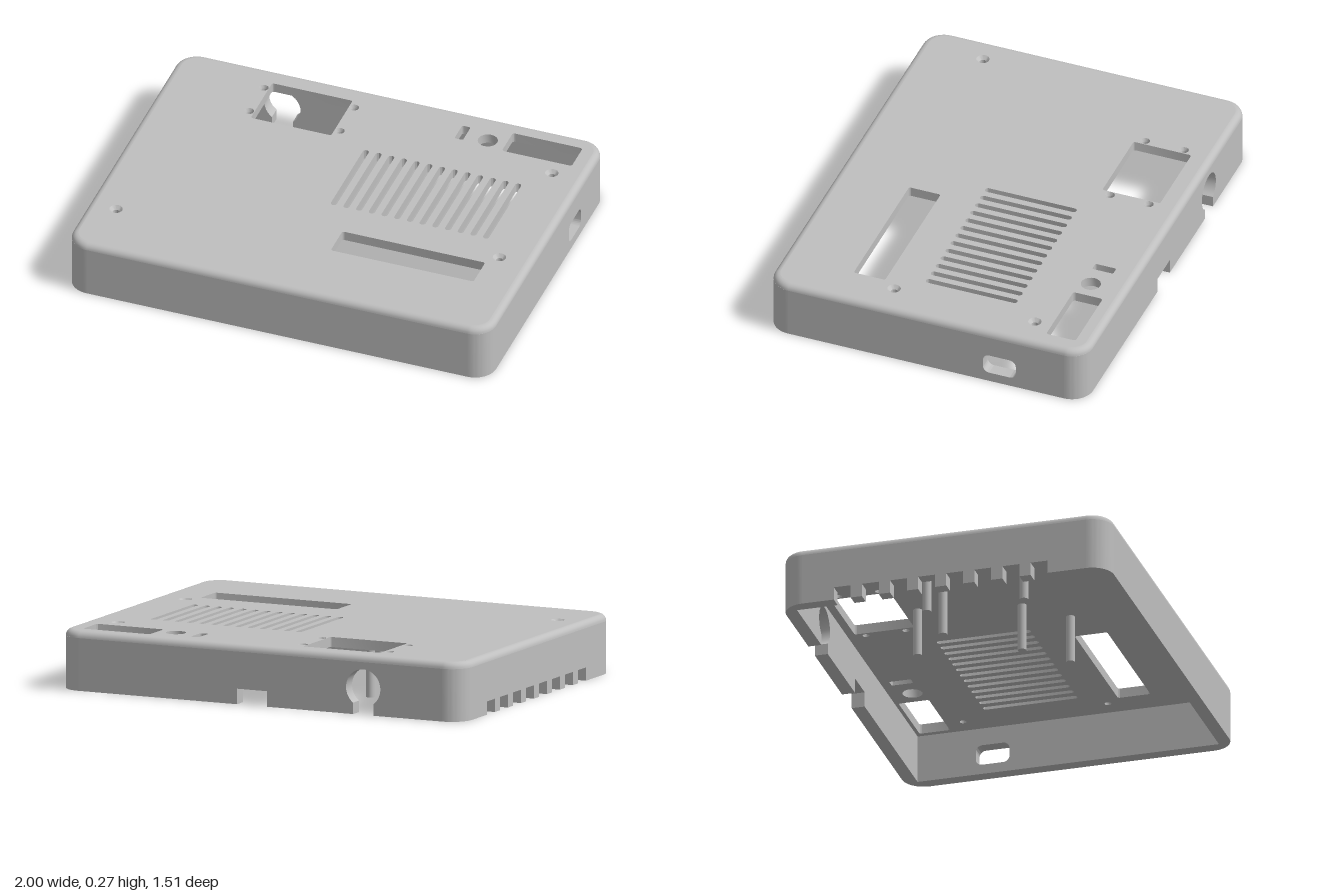
import * as THREE from 'three';
import { toCreasedNormals } from 'three/addons/utils/BufferGeometryUtils.js';

const W = 1, D = 0.757, H = 0.267;   // half width, half depth, height
const R = 0.1, B = 0.03, T = 0.06;   // corner radius, top edge rounding, wall thickness
const CEIL = 0.222, WALL = H - B;    // underside of the lid, top of the straight walls

// Rounded rectangle from its bounds
function roundRect(p, x0, y0, x1, y1, r) {
  p.moveTo(x0 + r, y0);
  p.lineTo(x1 - r, y0).absarc(x1 - r, y0 + r, r, -Math.PI / 2, 0, false);
  p.lineTo(x1, y1 - r).absarc(x1 - r, y1 - r, r, 0, Math.PI / 2, false);
  p.lineTo(x0 + r, y1).absarc(x0 + r, y1 - r, r, Math.PI / 2, Math.PI, false);
  p.lineTo(x0, y0 + r).absarc(x0 + r, y0 + r, r, Math.PI, Math.PI * 1.5, false);
  return p;
}

function extrude(shape, depth, segments = 10) {
  const g = new THREE.ExtrudeGeometry(shape, { depth, bevelEnabled: false, curveSegments: segments });
  return toCreasedNormals(g, 0.6);
}

// Wall outline with notches cut up from the bottom edge; a notch with r ends in a round port
function wallShape(half, notches = []) {
  const s = new THREE.Shape();
  s.moveTo(-half, 0);
  for (const { u, w, h, r } of notches) {
    s.lineTo(u - w / 2, 0);
    if (r) {
      const g = Math.asin(w / 2 / r);
      s.lineTo(u - w / 2, h - r * Math.cos(g));
      s.absarc(u, h, r, -Math.PI / 2 - g, -Math.PI / 2 + g, true);
    } else {
      s.lineTo(u - w / 2, h);
      s.lineTo(u + w / 2, h);
    }
    s.lineTo(u + w / 2, 0);
  }
  s.lineTo(half, 0);
  s.lineTo(half, WALL);
  s.lineTo(-half, WALL);
  s.closePath();
  return s;
}

// Rounded upper edge lofted from shrinking rounded rectangles
function edgeGeometry() {
  const steps = 6, arc = 10, pos = [], idx = [];
  const n = 4 * (arc + 1);
  for (let k = 0; k <= steps; k++) {
    const a = (k / steps) * Math.PI / 2;
    const r = R - B * (1 - Math.cos(a)), y = WALL + B * Math.sin(a);
    for (let c = 0; c < 4; c++) {
      const sx = c === 0 || c === 3 ? 1 : -1, sz = c < 2 ? 1 : -1;
      for (let i = 0; i <= arc; i++) {
        const t = (c + i / arc) * Math.PI / 2;
        pos.push(sx * (W - R) + r * Math.cos(t), y, sz * (D - R) + r * Math.sin(t));
      }
    }
  }
  for (let k = 0; k < steps; k++) {
    for (let i = 0; i < n; i++) {
      const a = k * n + i, b = k * n + (i + 1) % n;
      idx.push(a, a + n, b, b, a + n, b + n);
    }
  }
  const g = new THREE.BufferGeometry();
  g.setAttribute('position', new THREE.Float32BufferAttribute(pos, 3));
  g.setIndex(idx);
  g.computeVertexNormals();
  return g;
}

export function createModel() {
  const model = new THREE.Group();
  model.name = 'enclosureLid';
  const grey = new THREE.MeshStandardMaterial({ color: 0xbfbfbf });
  grey.name = 'case grey';

  const add = (name, geometry, x = 0, y = 0, z = 0, ry = 0) => {
    const m = new THREE.Mesh(geometry, grey);
    m.name = name;
    m.position.set(x, y, z);
    m.rotation.y = ry;
    model.add(m);
    return m;
  };

  // Lid plate with its openings (shape y is -z)
  const plate = roundRect(new THREE.Shape(), -W + B, -D + B, W - B, D - B, R - B);
  const rectHole = (x0, x1, z0, z1, r) =>
    plate.holes.push(roundRect(new THREE.Path(), x0, -z1, x1, -z0, r));
  const roundHole = (x, z, r) =>
    plate.holes.push(new THREE.Path().absarc(x, -z, r, 0, Math.PI * 2, false));

  rectHole(-0.545, -0.165, -0.66, -0.385, 0.01);  // display window
  rectHole(0.355, 0.395, -0.655, -0.555, 0.008);  // small switch slot
  rectHole(0.585, 0.915, -0.68, -0.54, 0.012);    // rear connector opening
  rectHole(0.13, 0.805, 0.27, 0.42, 0.01);        // front connector opening
  roundHole(0.5, -0.59, 0.045);                   // button hole
  for (let i = 0; i < 13; i++) {                  // ventilation slots
    const x = 0.022 + i * 0.06;
    rectHole(x - 0.014, x + 0.014, -0.335, 0.1, 0.0138);
  }

  // Countersunk screw holes: x, z, outer radius
  const screws = [[0.85, -0.46, 0.03], [0.85, 0.21, 0.03], [-0.87, 0.46, 0.03]];
  for (const x of [-0.569, -0.141]) for (const z of [-0.615, -0.43]) screws.push([x, z, 0.022]);
  for (const [x, z, r] of screws) {
    roundHole(x, z, r);
    const profile = [[r, H], [0.015, H - 0.016], [0.015, CEIL], [r, CEIL]]
      .map(([a, b]) => new THREE.Vector2(a, b));
    add('screwHole', toCreasedNormals(new THREE.LatheGeometry(profile, 20), 0.5), x, 0, z);
  }
  const plateGeometry = extrude(plate, H - CEIL);
  plateGeometry.rotateX(-Math.PI / 2);
  add('lidPlate', plateGeometry, 0, CEIL, 0);
  add('roundedEdge', edgeGeometry());

  // Straight walls
  const lx = W - R, lz = D - R;
  add('frontWall', extrude(wallShape(lx), T), 0, 0, D - T);

  const backNotches = [{ u: -0.04, w: 0.15, h: 0.07 }, { u: 0.51, w: 0.1, h: 0.12, r: 0.085 }];
  add('backWall', extrude(wallShape(lx, backNotches), T, 16), 0, 0, -D + T, Math.PI);

  const socketWall = wallShape(lz);
  socketWall.holes.push(roundRect(new THREE.Path(), 0.272, 0.045, 0.428, 0.14, 0.03));
  add('leftWall', extrude(socketWall, T), W - T, 0, 0, Math.PI / 2);

  const comb = [];
  for (let i = 0; i < 8; i++) comb.push({ u: -0.47 + i * 0.13, w: 0.078, h: 0.06 });
  add('rightWall', extrude(wallShape(lz, comb), T), -W + T, 0, 0, -Math.PI / 2);

  // Corners: round outside, square inside
  for (let c = 0; c < 4; c++) {
    const s = new THREE.Shape();
    s.moveTo(R, 0);
    s.absarc(0, 0, R, 0, Math.PI / 2, false);
    s.lineTo(0, R - T);
    s.lineTo(R - T, R - T);
    s.lineTo(R - T, 0);
    s.closePath();
    const g = extrude(s, WALL, 10);
    g.rotateX(-Math.PI / 2);
    const sx = c === 0 || c === 3 ? 1 : -1, sz = c < 2 ? -1 : 1;
    add('wallCorner', g, sx * lx, 0, sz * lz, c * Math.PI / 2);
  }

  // Stand-off posts hanging under the lid
  const posts = [[-0.76, 0.3], [-0.76, -0.15], [-0.51, -0.15], [-0.33, -0.32],
    [-0.25, 0.14], [-0.07, 0.31]];
  const postGeometry = new THREE.CylinderGeometry(0.02, 0.02, CEIL, 20);
  for (const [x, z] of posts) add('standOffPost', postGeometry, x, CEIL / 2, z);

  return model;
}
